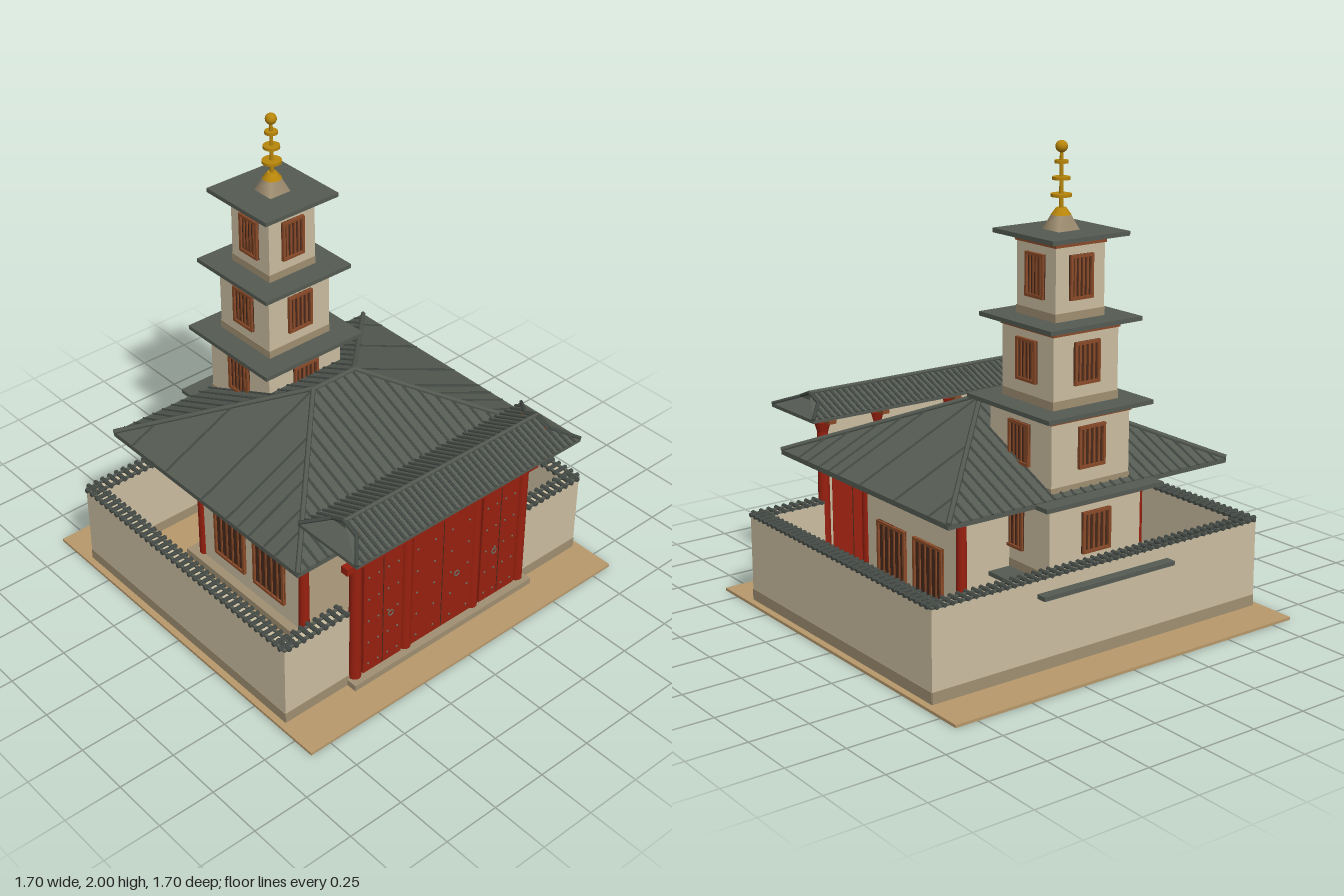
import * as THREE from 'three';

const paint = (name, color, extra = {}) => {
  const m = new THREE.MeshStandardMaterial({ color, ...extra });
  m.name = name;
  return m;
};

export function createModel() {
  const root = new THREE.Group();
  root.name = 'templeCompound';
  const plaster = paint('plaster', 0xcbbea0), sand = paint('sand', 0xb8996b), stone = paint('stone', 0xa08f72);
  const tile = paint('roofTile', 0x555b53, { side: THREE.DoubleSide }), rib = paint('tileRib', 0x444a45);
  const red = paint('redLacquer', 0x98200f), wood = paint('brownWood', 0x8a4a28), dark = paint('darkOpening', 0x48291a);
  const gold = paint('gold', 0xb8860b), iron = paint('iron', 0x6f6f60);

  const group = (name, x = 0, y = 0, z = 0, parent = root) => {
    const g = new THREE.Group();
    g.name = name;
    g.position.set(x, y, z);
    parent.add(g);
    return g;
  };
  const add = (p, name, geo, mat, x = 0, y = 0, z = 0) => {
    const m = new THREE.Mesh(geo, mat);
    m.name = name;
    m.position.set(x, y, z);
    p.add(m);
    return m;
  };
  // Box given by its width, depth and bottom/top heights
  const box = (p, name, mat, w, d, y0, y1, x = 0, z = 0) =>
    add(p, name, new THREE.BoxGeometry(w, y1 - y0, d), mat, x, (y0 + y1) / 2, z);
  const post = (p, name, mat, rTop, rBottom, y0, y1, x = 0, z = 0, n = 14) =>
    add(p, name, new THREE.CylinderGeometry(rTop, rBottom, y1 - y0, n), mat, x, (y0 + y1) / 2, z);
  // Round bar between two points
  const rod = (p, name, mat, a, b, r, n = 6) => {
    const A = new THREE.Vector3(...a), B = new THREE.Vector3(...b), d = B.clone().sub(A);
    const m = add(p, name, new THREE.CylinderGeometry(r, r, d.length(), n), mat);
    m.position.copy(A).add(B).multiplyScalar(0.5);
    m.quaternion.setFromUnitVectors(new THREE.Vector3(0, 1, 0), d.normalize());
    return m;
  };
  // Flat convex faces, each a list of corners
  const faces = (p, name, mat, polys) => {
    const pos = [];
    for (const q of polys) for (let i = 1; i < q.length - 1; i++) pos.push(...q[0], ...q[i], ...q[i + 1]);
    const g = new THREE.BufferGeometry();
    g.setAttribute('position', new THREE.Float32BufferAttribute(pos, 3));
    g.computeVertexNormals();
    return add(p, name, g, mat);
  };
  // Vertical eave edge round a rectangle
  const eaveEdge = (p, ex, ez, y0, y1) => {
    for (const s of [-1, 1]) {
      box(p, 'eaveEdge', tile, 2 * ex, 0.012, y0, y1, 0, s * (ez - 0.006));
      box(p, 'eaveEdge', tile, 0.012, 2 * ez, y0, y1, s * (ex - 0.006), 0);
    }
  };
  // Barred window facing +z, centred on its origin
  const windowFrame = (p, w, h, x, y, z, turn) => {
    const g = group('window', x, y, z, p);
    g.rotation.y = turn;
    add(g, 'windowOpening', new THREE.BoxGeometry(w, h, 0.006), dark);
    for (const s of [-1, 1]) {
      add(g, 'windowJamb', new THREE.BoxGeometry(0.012, h, 0.024), wood, s * (w / 2 - 0.006), 0, 0);
      add(g, 'windowRail', new THREE.BoxGeometry(w, 0.012, 0.024), wood, 0, s * (h / 2 - 0.006), 0);
    }
    for (let i = 1; i < 5; i++)
      add(g, 'windowBar', new THREE.BoxGeometry(0.009, h, 0.014), wood, (i / 5 - 0.5) * (w - 0.012), 0, 0);
  };

  box(root, 'ground', sand, 1.7, 1.7, 0, 0.012);

  // Courtyard wall with a tiled coping
  const walls = group('courtyardWall');
  const wallRun = (cx, cz, len, alongX) => {
    const size = t => (alongX ? [len, t] : [t, len]);
    box(walls, 'wall', plaster, ...size(0.05), 0.06, 0.387, cx, cz);
    box(walls, 'wallFooting', stone, ...size(0.054), 0.012, 0.06, cx, cz);
    const n = Math.round(len / 0.036);
    for (let i = 0; i < n; i++) {
      const t = ((i + 0.5) / n - 0.5) * len;
      rod(walls, 'copingTile', rib, alongX ? [cx + t, 0.394, cz - 0.038] : [cx - 0.038, 0.394, cz + t],
        alongX ? [cx + t, 0.394, cz + 0.038] : [cx + 0.038, 0.394, cz + t], 0.0095);
    }
    for (const s of [-1, 1])
      box(walls, 'copingRail', tile, ...size(0.012), 0.385, 0.395, cx + (alongX ? 0 : s * 0.022), cz + (alongX ? s * 0.022 : 0));
  };
  for (const s of [-1, 1]) {
    wallRun(s * 0.795, 0, 1.32, false);
    wallRun(s * 0.655, 0.635, 0.33, true);
  }
  wallRun(0, -0.635, 1.64, true);

  // Gate
  const gate = group('gate', 0, 0, 0.66);
  box(gate, 'threshold', stone, 1.0, 0.09, 0.012, 0.04, 0, 0.005);
  for (const x of [-0.46, -0.19, 0.19, 0.46]) {
    post(gate, 'gateColumn', red, 0.024, 0.027, 0.04, 0.69, x);
    post(gate, 'columnCapital', red, 0.037, 0.024, 0.69, 0.735, x);
    box(gate, 'bracketArm', red, 0.11, 0.03, 0.735, 0.752, x);
    box(gate, 'bracketCross', wood, 0.035, 0.17, 0.74, 0.765, x);
    box(gate, 'bracketBlock', wood, 0.14, 0.04, 0.765, 0.785, x);
  }
  box(gate, 'lintel', red, 1.05, 0.035, 0.612, 0.645, 0, 0.008);
  box(gate, 'eaveBeam', red, 1.07, 0.03, 0.752, 0.77);
  box(gate, 'infill', plaster, 0.92, 0.012, 0.04, 0.735, 0, -0.008);
  for (const [x, w, ring] of [[-0.325, 0.205, 0.04], [0, 0.335, 0.08], [0.325, 0.205, -0.03]]) {
    const door = group('door', x, 0, 0, gate);
    box(door, 'doorLeaf', red, w, 0.03, 0.04, 0.612);
    for (let i = 0; i < 4; i++) for (let j = 0; j < 5; j++)
      add(door, 'doorStud', new THREE.SphereGeometry(0.005, 6, 4), iron, (i / 3 - 0.5) * (w - 0.05), 0.08 + j * 0.113, 0.016);
    add(door, 'doorRing', new THREE.TorusGeometry(0.013, 0.003, 5, 12), iron, ring, 0.285, 0.018);
    box(door, 'doorSeam', dark, 0.004, 0.032, 0.045, 0.61, 0, 0);
  }
  box(gate, 'signBoard', tile, 0.32, 0.02, 0.645, 0.745, 0, 0.03);

  // Gate roof: hipped skirt below small gables
  const gateRoof = group('gateRoof', 0, 0, 0, gate);
  const GX = 0.605, GZ = 0.168, RX = 0.52, GY = 0.797, TY = 0.866, MZ = 0.07;
  const MY = TY - (TY - GY) * MZ / GZ;
  for (const s of [-1, 1]) {
    faces(gateRoof, 'roofSlope', tile, [[[-s * GX, GY, s * GZ], [s * GX, GY, s * GZ], [s * RX, MY, s * MZ],
      [s * RX, TY, 0], [-s * RX, TY, 0], [-s * RX, MY, s * MZ]]]);
    faces(gateRoof, 'roofEnd', tile, [[[s * GX, GY, s * GZ], [s * GX, GY, -s * GZ], [s * RX, MY, -s * MZ], [s * RX, MY, s * MZ]]]);
    box(gateRoof, 'gablePanel', wood, 0.012, 2 * MZ, MY - 0.012, MY + 0.006, s * (RX - 0.012), 0);
    faces(gateRoof, 'gable', tile, [[[s * RX, MY, s * MZ], [s * RX, MY, -s * MZ], [s * RX, TY, 0]]]);
    for (const k of [-1, 1]) {
      rod(gateRoof, 'hipRidge', rib, [s * GX, GY + 0.004, k * GZ], [s * RX, MY + 0.004, k * MZ], 0.008);
      rod(gateRoof, 'vergeRidge', rib, [s * RX, MY + 0.004, k * MZ], [s * RX, TY + 0.004, 0], 0.008);
    }
    for (let x = -0.57; x < 0.58; x += 0.03) {
      const over = Math.max(0, (Math.abs(x) - RX) / (GX - RX)), z = over ? MZ + (GZ - MZ) * over : 0;
      rod(gateRoof, 'tileRib', rib, [x, GY + 0.002, s * GZ], [x, TY - (TY - GY) * z / GZ + 0.002, s * z], 0.0065);
    }
  }
  rod(gateRoof, 'ridge', tile, [-RX, TY + 0.003, 0], [RX, TY + 0.003, 0], 0.009);
  eaveEdge(gateRoof, GX, GZ, 0.785, 0.8);

  // Main hall, open at the front
  const hall = group('hall');
  box(hall, 'hallPlatform', stone, 1.0, 0.8, 0.012, 0.05);
  box(hall, 'backWall', plaster, 0.88, 0.03, 0.05, 0.55, 0, -0.335);
  for (const s of [-1, 1]) {
    box(hall, 'sideWall', plaster, 0.03, 0.66, 0.05, 0.55, s * 0.445, 0);
    for (const z of [-0.13, 0.13]) windowFrame(hall, 0.2, 0.29, s * 0.463, 0.27, z, s * Math.PI / 2);
    for (const x of [-0.45, -0.15, 0.15, 0.45]) {
      const z = s * 0.335;
      post(hall, 'hallColumn', red, 0.021, 0.023, 0.05, 0.57, x, z);
      post(hall, 'columnCapital', red, 0.04, 0.022, 0.57, 0.6, x, z);
      box(hall, 'bracketArm', wood, 0.03, 0.14, 0.596, 0.615, x, z);
      box(hall, 'bracketArm', wood, 0.14, 0.03, 0.596, 0.615, x, z);
      box(hall, 'bracketTop', wood, 0.03, 0.2, 0.618, 0.642, x, z);
      box(hall, 'bracketTop', wood, 0.2, 0.03, 0.618, 0.642, x, z);
    }
  }

  // Hall roof: full hip with ribs and rafters
  const hallRoof = group('hallRoof', 0, 0, 0, hall);
  const EX = 0.698, EZ = 0.598, HX = 0.11, EY = 0.664, PY = 0.932;
  for (const s of [-1, 1]) {
    faces(hallRoof, 'roofSlope', tile, [[[-s * EX, EY, s * EZ], [s * EX, EY, s * EZ], [s * HX, PY, 0], [-s * HX, PY, 0]]]);
    faces(hallRoof, 'roofEnd', tile, [[[s * EX, EY, s * EZ], [s * EX, EY, -s * EZ], [s * HX, PY, 0]]]);
    for (const k of [-1, 1]) {
      rod(hallRoof, 'hipRidge', tile, [s * EX, EY + 0.004, k * EZ], [s * HX, PY + 0.004, 0], 0.011);
      rod(hallRoof, 'hipRafter', wood, [s * (EX - 0.02), EY - 0.015, k * (EZ - 0.02)], [s * HX, PY - 0.02, 0], 0.011);
    }
    for (let i = -13; i <= 13; i++) {
      const x = i * 0.0495, f = Math.max(0, (Math.abs(x) - HX) / (EX - HX)), top = PY - (PY - EY) * f;
      rod(hallRoof, 'tileRib', rib, [x, EY, s * EZ], [x, top, s * EZ * f], 0.006);
      if (i % 2) rod(hallRoof, 'rafter', wood, [x, EY - 0.012, s * (EZ - 0.02)], [x, top - 0.02, s * EZ * f], 0.006);
    }
    for (const z of [-0.47, -0.24, 0, 0.16, 0.23, 0.3, 0.39, 0.46]) {
      const f = Math.abs(z) / EZ, top = PY - (PY - EY) * f;
      rod(hallRoof, 'tileRib', rib, [s * EX, EY, z], [s * (HX + (EX - HX) * f), top, z], 0.005);
      rod(hallRoof, 'rafter', wood, [s * (EX - 0.02), EY - 0.012, z], [s * (HX + (EX - HX) * f), top - 0.02, z], 0.006);
    }
  }
  rod(hallRoof, 'ridge', tile, [-HX, PY, 0], [HX, PY, 0], 0.011);
  eaveEdge(hallRoof, EX, EZ, 0.646, 0.667);

  // Seated golden statue inside the hall
  const statue = group('statue', 0, 0.05, 0.03);
  add(statue, 'statueBase', new THREE.SphereGeometry(0.11, 20, 10).scale(1, 0.35, 0.7), gold, 0, 0.04, 0);
  add(statue, 'statueBody', new THREE.SphereGeometry(0.065, 16, 12).scale(1, 1.2, 0.8), gold, 0, 0.12, 0);
  add(statue, 'statueHead', new THREE.SphereGeometry(0.038, 14, 10), gold, 0, 0.22, 0);

  // Golden bell standing in the side yard
  const bell = [[0.14, 0], [0.135, 0.02], [0.115, 0.06], [0.105, 0.12], [0.08, 0.155], [0, 0.17]];
  add(root, 'bell', new THREE.LatheGeometry(bell.map(p => new THREE.Vector2(...p)), 28), gold, 0.597, 0.012, 0.39);

  // Pagoda: [wall half width, bottom, roof bottom, roof half width, window width, window bottom, window top]
  const pagoda = group('pagoda', 0, 0, -0.375);
  for (const [h, y0, y1, r, w, a, b] of [
    [0.262, 0.012, 0.313, 0.33, 0.15, 0.09, 0.25],
    [0.228, 0.333, 0.644, 0.292, 0.14, 0.42, 0.59],
    [0.194, 0.664, 0.976, 0.26, 0.13, 0.755, 0.925],
    [0.16, 0.995, 1.308, 0.225, 0.124, 1.08, 1.25],
    [0.12, 1.325, 1.639, 0.188, 0.112, 1.405, 1.58]]) {
    const tier = group('pagodaTier', 0, 0, 0, pagoda);
    box(tier, 'tierWall', plaster, 2 * h, 2 * h, y0, y1);
    box(tier, 'tierFooting', stone, 2 * h + 0.004, 2 * h + 0.004, y0, y0 + 0.034);
    box(tier, 'tierCornice', wood, 2 * h + 0.012, 2 * h + 0.012, y1 - 0.026, y1);
    box(tier, 'tierRoof', tile, 2 * r, 2 * r, y1, y1 + 0.018);
    for (let k = 0; k < 4; k++) {
      const t = k * Math.PI / 2;
      windowFrame(tier, w, b - a, Math.sin(t) * (h + 0.002), (a + b) / 2, Math.cos(t) * (h + 0.002), t);
    }
  }

  // Finial
  const finial = group('finial', 0, 0, 0, pagoda);
  const plinth = post(finial, 'finialPlinth', stone, 0.036, 0.074, 1.655, 1.72, 0, 0, 4);
  plinth.rotation.y = Math.PI / 4;
  post(finial, 'finialBowl', gold, 0.02, 0.04, 1.715, 1.742, 0, 0, 20);
  post(finial, 'finialPole', gold, 0.007, 0.009, 1.74, 1.97, 0, 0, 10);
  for (const [y, r] of [[1.79, 0.041], [1.855, 0.035], [1.918, 0.027]])
    post(finial, 'finialRing', gold, r, r, y - 0.006, y + 0.006, 0, 0, 20);
  add(finial, 'finialBall', new THREE.SphereGeometry(0.024, 18, 12), gold, 0, 1.976, 0);

  return root;
}
